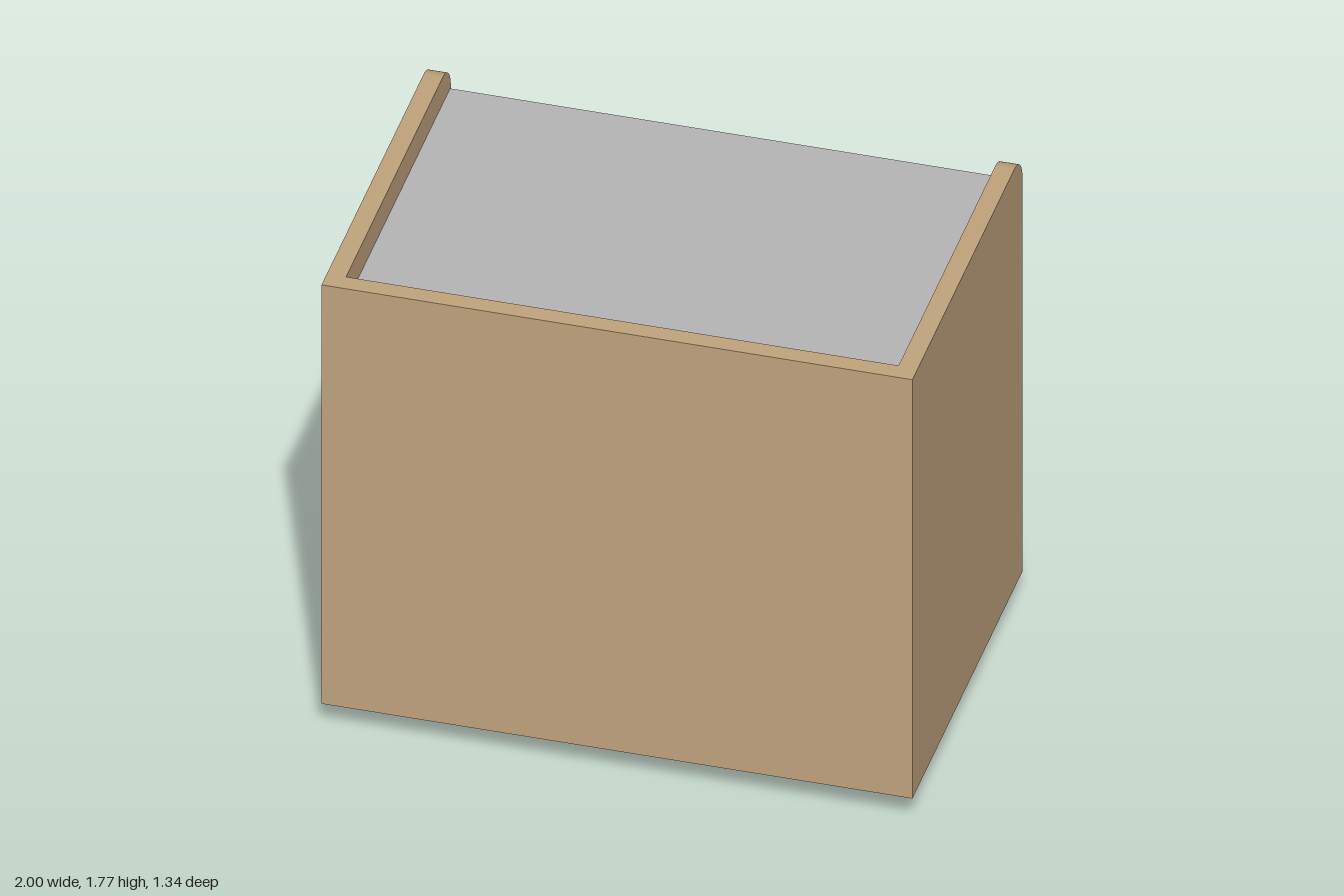
import * as THREE from 'three';
import { toCreasedNormals } from 'three/addons/utils/BufferGeometryUtils.js';

export function createModel() {
  const model = new THREE.Group();
  model.name = 'nightstand';

  const wood = new THREE.MeshStandardMaterial({ color: 0xc2a47d });
  wood.name = 'wood';
  const grey = new THREE.MeshStandardMaterial({ color: 0xb6b6b6 });
  grey.name = 'grey top';

  const add = (name, geometry, material) => {
    const mesh = new THREE.Mesh(geometry, material);
    mesh.name = name;
    model.add(mesh);
    return mesh;
  };
  // Box given by its lower and upper corners
  const box = (name, material, [x0, y0, z0], [x1, y1, z1]) =>
    add(name, new THREE.BoxGeometry(x1 - x0, y1 - y0, z1 - z0), material)
      .position.set((x0 + x1) / 2, (y0 + y1) / 2, (z0 + z1) / 2);
  const extrude = (shape, depth) => toCreasedNormals(
    new THREE.ExtrudeGeometry(shape, { depth, bevelEnabled: false, curveSegments: 12 }), 0.5);

  const base = 0.1, top = 1.77, Z = 0.668, wall = 0.065;
  const inX = 1 - wall, inZ = Z - wall;

  // Plinth, closed front, floor and inner wall behind the drawer fronts
  box('plinth', wood, [-0.9, 0, -0.56], [0.9, base, 0.5]);
  box('frontPanel', wood, [-1, base, inZ], [1, top, Z]);
  box('bottomPanel', wood, [-inX, base, -0.59], [inX, base + wall, inZ]);
  box('innerWall', wood, [-inX, base + wall, -0.59], [inX, 1.605, -0.57]);

  // Recessed top
  box('topPanel', grey, [-inX, 1.605, -0.66], [inX, 1.665, inZ]);

  // Side panels with one rounded upper corner
  const r = 0.1;
  const side = new THREE.Shape();
  side.moveTo(-inZ, base);
  side.lineTo(Z, base);
  side.lineTo(Z, top - r);
  side.absarc(Z - r, top - r, r, 0, Math.PI / 2, false);
  side.lineTo(-inZ, top);
  side.closePath();
  const sideGeometry = extrude(side, wall).rotateY(Math.PI / 2);
  add('rightSide', sideGeometry, wood).position.x = -1;
  add('leftSide', sideGeometry, wood).position.x = inX;

  // Drawer fronts, each with half of the rounded grip slot cut from its edge
  const drawerFront = (name, outer, edge, dir) => {
    const w = 0.926, slot = 0.62, c = 0.078;
    const pts = [[-w, outer], [-w, edge], [-slot, edge]];
    for (let i = 0; i <= 8; i++) {
      const a = (i / 8) * Math.PI / 2;
      pts.push([-slot + c * (1 - Math.cos(a)), edge + dir * c * Math.sin(a)]);
    }
    for (let i = 8; i >= 0; i--) {
      const a = (i / 8) * Math.PI / 2;
      pts.push([slot - c * (1 - Math.cos(a)), edge + dir * c * Math.sin(a)]);
    }
    pts.push([w, edge], [w, outer]);
    const shape = new THREE.Shape(pts.map(([x, y]) => new THREE.Vector2(x, y)));
    add(name, extrude(shape, 0.07), wood).position.z = -0.66;
  };
  drawerFront('upperDrawer', 1.594, 0.855, 1);
  drawerFront('lowerDrawer', 0.102, 0.845, -1);

  return model;
}
